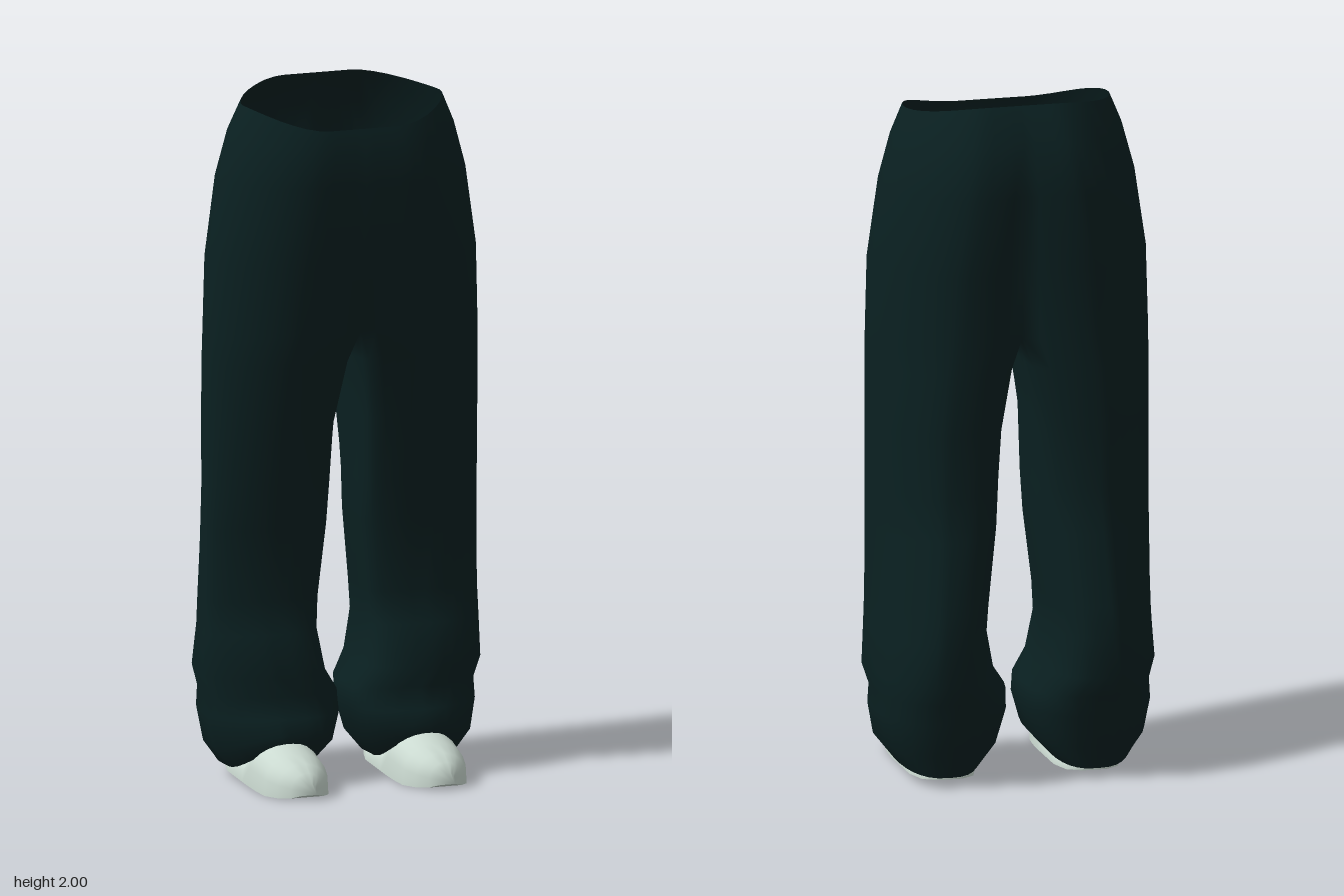
import * as THREE from 'three';
import { mergeVertices, toCreasedNormals } from 'three/addons/utils/BufferGeometryUtils.js';

const { clamp, lerp, smoothstep } = THREE.MathUtils;

const cloth = new THREE.MeshStandardMaterial({ color: 0x0a2021, side: THREE.DoubleSide });
cloth.name = 'dark teal cloth';
const pale = new THREE.MeshStandardMaterial({ color: 0xcbdad1 });
pale.name = 'pale shoe';

// Half of the trousers from waist to hem: y, inner x, outer x, front z, back z
const RINGS = [
  [1.965, 0, 0.3, 0.19, -0.185],
  [1.88, 0, 0.335, 0.205, -0.245],
  [1.75, 0, 0.37, 0.21, -0.275],
  [1.52, 0, 0.404, 0.185, -0.26],
  [1.3, 0, 0.41, 0.163, -0.255],
  [1.22, 0.024, 0.411, 0.15, -0.255],
  [1.05, 0.038, 0.411, 0.125, -0.255],
  [0.86, 0.042, 0.411, 0.097, -0.246],
  [0.74, 0.05, 0.411, 0.082, -0.27],
  [0.53, 0.075, 0.413, 0.06, -0.3],
  [0.44, 0.082, 0.416, 0.095, -0.302],
  [0.32, 0.06, 0.42, 0.127, -0.3],
  [0.26, 0.022, 0.4, 0.108, -0.275],
  [0.2, 0.02, 0.403, 0.135, -0.265],
  [0.11, 0.045, 0.387, 0.157, -0.235],
  [0.05, 0.1, 0.34, 0.14, -0.218],
];
const CROTCH = 4, N = 32, MID_Z = 0.005;

// Point i of a ring: front, round the outside to the back, then along the inside to the front
function ringPoint([y, xin, xout, zf, zb], i, side) {
  const t = Math.PI / 2 - (i / N) * Math.PI * 2;
  const c = Math.cos(t), s = Math.sin(t);
  // inside corners are full, outside corners slope away except on the baggy hem
  const outer = s > 0 ? 1.12 : lerp(0.8, 1.2, smoothstep(y, 0.22, 0.42));
  const e = lerp(0.75, outer, smoothstep(c, -0.2, 0.2));
  const bend = v => Math.sign(v) * Math.pow(Math.abs(v), e);
  const xc = lerp(xin, xout, lerp(0.48, 0.34, clamp((y - 1.1) / 0.9, 0, 1)));
  let x = xc + (c > 0 ? xout - xc : xc - xin) * bend(c);
  let z = MID_Z + (s > 0 ? zf - MID_Z : MID_Z - zb) * bend(s);

  // round legs turn into squared halves that meet at the centre seam
  const u = (i - N / 2) / (N / 2);
  if (u > 0) {
    const joined = Math.pow(clamp((y - 0.6) / 0.7, 0, 1), 2);
    const near = Math.min(1, 4 * Math.min(u, 1 - u));
    x = lerp(x, xc - (xc - xin) * near, joined);
    z = lerp(z, lerp(zb, zf, clamp((u - 0.25) * 2, 0, 1)), joined);
  }

  // waist dips at the front, crotch arches, hem rises over the shoe
  const h = (z - MID_Z) / (z > MID_Z ? zf - MID_Z : MID_Z - zb);
  const waist = smoothstep(y, 1.8, 1.965), hem = 1 - smoothstep(y, 0.05, 0.2);
  const crotch = 0.02 * Math.max(0, 1 - Math.abs(y - 1.32) / 0.2);
  const lift = crotch + (h > 0 ? 0.075 * hem - 0.055 * waist : 0.035 * waist - 0.02 * hem);

  // dent along the back seam
  if (h < -0.5) {
    const dent = 0.05 * Math.sin(Math.PI * clamp((1.93 - y) / 1.2, 0, 1));
    z += dent * Math.pow(Math.max(0, 1 - x / 0.15), 2);
  }
  return [x * side, y + h * h * lift, z];
}

function buildGeometry(pos, index) {
  const g = new THREE.BufferGeometry();
  g.setAttribute('position', new THREE.Float32BufferAttribute(pos, 3));
  g.setIndex(index);
  return g;
}

function trousersGeometry() {
  const pos = [], index = [];
  for (const side of [1, -1]) {
    const base = pos.length / 3;
    for (const ring of RINGS) for (let i = 0; i < N; i++) pos.push(...ringPoint(ring, i, side));
    for (let r = 0; r < RINGS.length - 1; r++) {
      for (let i = 0; i < N; i++) {
        // above the crotch the two halves share one hollow
        if (r < CROTCH && i >= N * 0.625 && i < N * 0.875) continue;
        const a = base + r * N + i, b = base + r * N + (i + 1) % N, c = a + N, d = b + N;
        if (side > 0) index.push(a, c, b, b, c, d);
        else index.push(a, b, c, b, d, c);
      }
    }
  }
  const merged = mergeVertices(buildGeometry(pos, index), 1e-4);
  merged.computeVertexNormals();
  return merged;
}

// Shoe sections from heel to toe: z, half width, bottom y, top y, roundness (low is flat-topped)
const SHOE = [
  [-0.205, 0.035, 0.022, 0.04, 0.3], [-0.17, 0.075, 0.018, 0.05, 0.3], [-0.1, 0.095, 0.014, 0.055, 0.3],
  [0.03, 0.1, 0.008, 0.06, 0.3], [0.08, 0.101, 0.005, 0.14, 0.65], [0.14, 0.102, 0.003, 0.134, 0.65],
  [0.2, 0.097, 0, 0.115, 0.65], [0.25, 0.078, 0.002, 0.095, 0.65],
  [0.285, 0.05, 0.006, 0.075, 0.65], [0.305, 0.022, 0.015, 0.05, 0.65],
];

function shoeGeometry() {
  const M = 14, pos = [], index = [];
  for (const [z, w, y0, y1, roundness] of SHOE) {
    for (let i = 0; i < M; i++) {
      // dome over a flat sole
      const t = (i / (M - 1)) * Math.PI;
      const rise = Math.pow(Math.max(0, Math.sin(t)), roundness);
      pos.push(w * Math.cos(t), lerp(y0, y1, rise), z);
    }
  }
  for (let r = 0; r < SHOE.length - 1; r++) {
    for (let i = 0; i < M; i++) {
      const a = r * M + i, b = r * M + (i + 1) % M, c = a + M, d = b + M;
      index.push(a, b, c, b, d, c);
    }
  }
  // heel and toe caps
  const last = (SHOE.length - 1) * M;
  for (let i = 1; i < M - 1; i++) index.push(0, i + 1, i, last, last + i, last + i + 1);
  return toCreasedNormals(buildGeometry(pos, index), 0.9);
}

export function createModel() {
  const model = new THREE.Group();
  const trousers = new THREE.Mesh(trousersGeometry(), cloth);
  trousers.name = 'trousers';
  model.add(trousers);

  const shoe = shoeGeometry();
  for (const [name, x] of [['leftShoe', 0.21], ['rightShoe', -0.21]]) {
    const mesh = new THREE.Mesh(shoe, pale);
    mesh.name = name;
    mesh.position.x = x;
    model.add(mesh);
  }
  return model;
}
